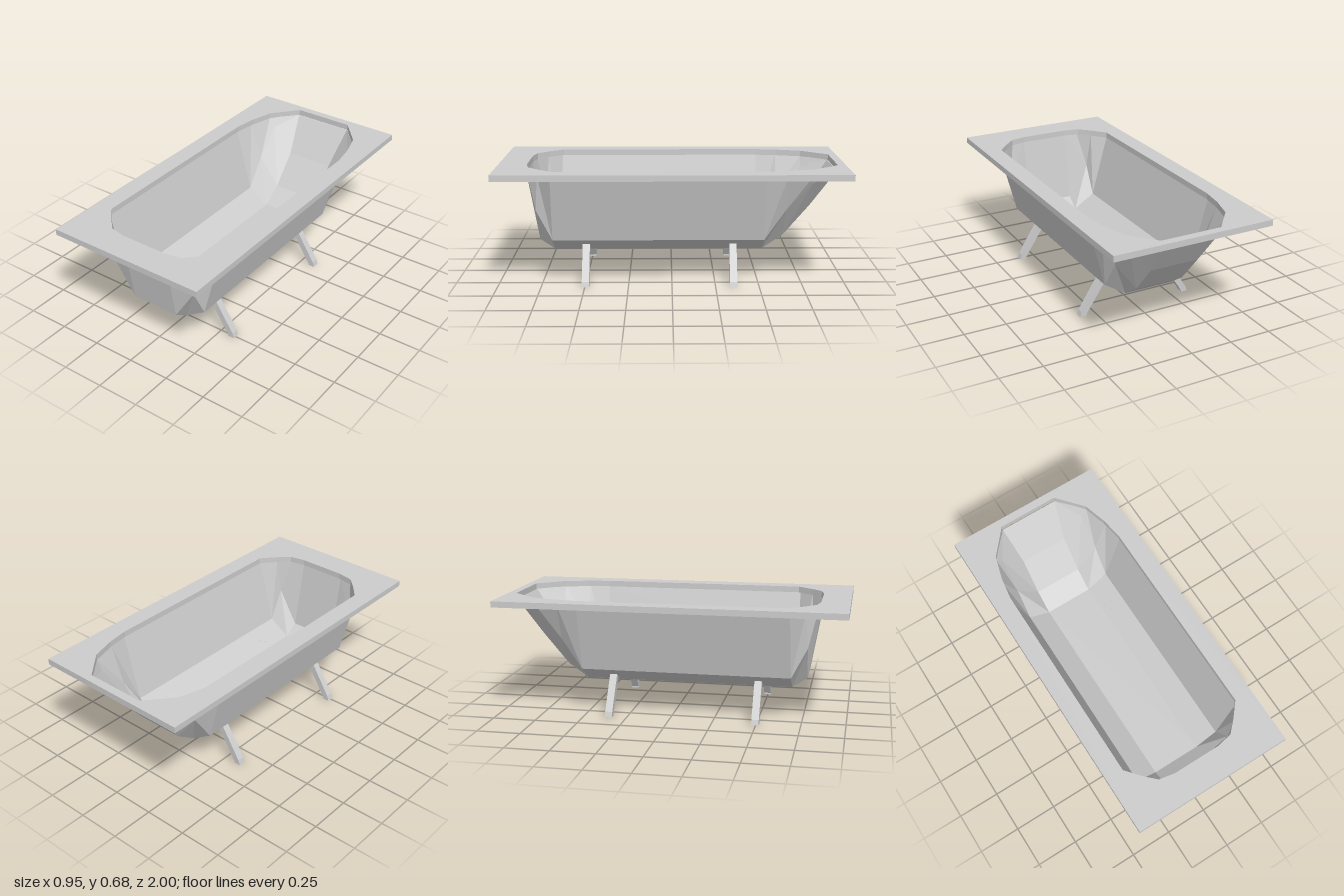
import * as THREE from 'three';

export function createModel() {
  const model = new THREE.Group();
  model.name = 'bathtub';
  const grey = new THREE.MeshStandardMaterial({ color: 0xcccccc, flatShading: true, side: THREE.DoubleSide });
  grey.name = 'pale grey';

  // Basin corner points on the left half; the right half is mirrored
  const p = {
    floorF: [0.145, 0.177, 0.685], floorB: [0.145, 0.177, -0.53],
    sideF: [0.275, 0.26, 0.685], sideB: [0.275, 0.26, -0.53],
    toeF: [0.145, 0.235, 0.77], cornerF: [0.275, 0.435, 0.775],
    heel1: [0.145, 0.26, -0.65], heel2: [0.145, 0.435, -0.8],
    cornerB1: [0.275, 0.435, -0.65], cornerB2: [0.275, 0.59, -0.8],
    top1: [0.145, 0.645, 0.842], top2: [0.23, 0.645, 0.825], top3: [0.302, 0.645, 0.76],
    top4: [0.378, 0.645, 0.68], top5: [0.378, 0.645, -0.53], top6: [0.355, 0.645, -0.65],
    top7: [0.312, 0.645, -0.8], top8: [0.18, 0.645, -0.948],
  };
  const halfPanels = [
    'floorF sideF sideB floorB', 'sideF top4 top5 sideB',
    'floorF toeF cornerF sideF', 'sideF cornerF top3 top4',
    'cornerF top2 top3', 'cornerF toeF top1 top2',
    'floorB sideB cornerB1 heel1', 'sideB top5 top6 cornerB1',
    'heel1 cornerB1 cornerB2 heel2', 'cornerB1 top6 top7 cornerB2',
    'cornerB2 top7 top8', 'heel2 cornerB2 top8',
  ];
  // Centre panels span between each edge and its mirror image
  const centreEdges = ['top1 toeF', 'toeF floorF', 'floorF floorB', 'floorB heel1', 'heel1 heel2', 'heel2 top8'];

  const positions = [];
  const middle = new THREE.Vector3(0, 0.6, 0);
  const addPanel = (pts) => {
    for (let i = 1; i < pts.length - 1; i++) {
      const [a, b, c] = [pts[0], pts[i], pts[i + 1]];
      const normal = b.clone().sub(a).cross(c.clone().sub(a));
      const outward = normal.dot(a.clone().sub(middle)) > 0;
      for (const v of outward ? [a, b, c] : [a, c, b]) positions.push(v.x, v.y, v.z);
    }
  };
  const point = (name, s) => new THREE.Vector3(p[name][0] * s, p[name][1], p[name][2]);
  for (const panel of halfPanels) {
    for (const s of [1, -1]) addPanel(panel.split(' ').map((n) => point(n, s)));
  }
  for (const edge of centreEdges) {
    const [a, b] = edge.split(' ');
    addPanel([point(a, 1), point(b, 1), point(b, -1), point(a, -1)]);
  }
  const basinGeometry = new THREE.BufferGeometry();
  basinGeometry.setAttribute('position', new THREE.Float32BufferAttribute(positions, 3));
  basinGeometry.computeVertexNormals();
  const basin = new THREE.Mesh(basinGeometry, grey);
  basin.name = 'basin';
  model.add(basin);

  // Rectangular rim with the basin opening cut out
  const half = [
    [0.14, 0.835], [0.235, 0.817], [0.3, 0.752], [0.37, 0.67],
    [0.37, -0.53], [0.35, -0.66], [0.31, -0.8], [0.18, -0.953],
  ];
  const shape = new THREE.Shape([[-0.475, -1], [0.475, -1], [0.475, 1], [-0.475, 1]].map(([x, y]) => new THREE.Vector2(x, y)));
  const outline = [...half, ...half.map(([x, z]) => [-x, z]).reverse()];
  shape.holes.push(new THREE.Path(outline.map(([x, z]) => new THREE.Vector2(x, -z))));
  const rimGeometry = new THREE.ExtrudeGeometry(shape, { depth: 0.035, bevelEnabled: false });
  rimGeometry.rotateX(-Math.PI / 2).translate(0, 0.643, 0);
  const rim = new THREE.Mesh(rimGeometry, grey);
  rim.name = 'rim';
  model.add(rim);

  // Four splayed legs with small flat feet
  const legProfile = [[0.31, 0], [0.35, 0], [0.34, 0.03], [0.217, 0.224], [0.184, 0.203], [0.31, 0.01]];
  for (const side of [1, -1]) {
    const shift = side < 0 ? -0.01 : 0;
    const pts = legProfile.map(([x, y]) => new THREE.Vector2(x * side + shift, y));
    for (const [name, z] of [['front', 0.475], ['back', -0.375]]) {
      const geometry = new THREE.ExtrudeGeometry(new THREE.Shape(pts), { depth: 0.042, bevelEnabled: false });
      const leg = new THREE.Mesh(geometry.translate(0, 0, z), grey);
      leg.name = name + (side > 0 ? 'LeftLeg' : 'RightLeg');
      model.add(leg);
    }
  }
  return model;
}
